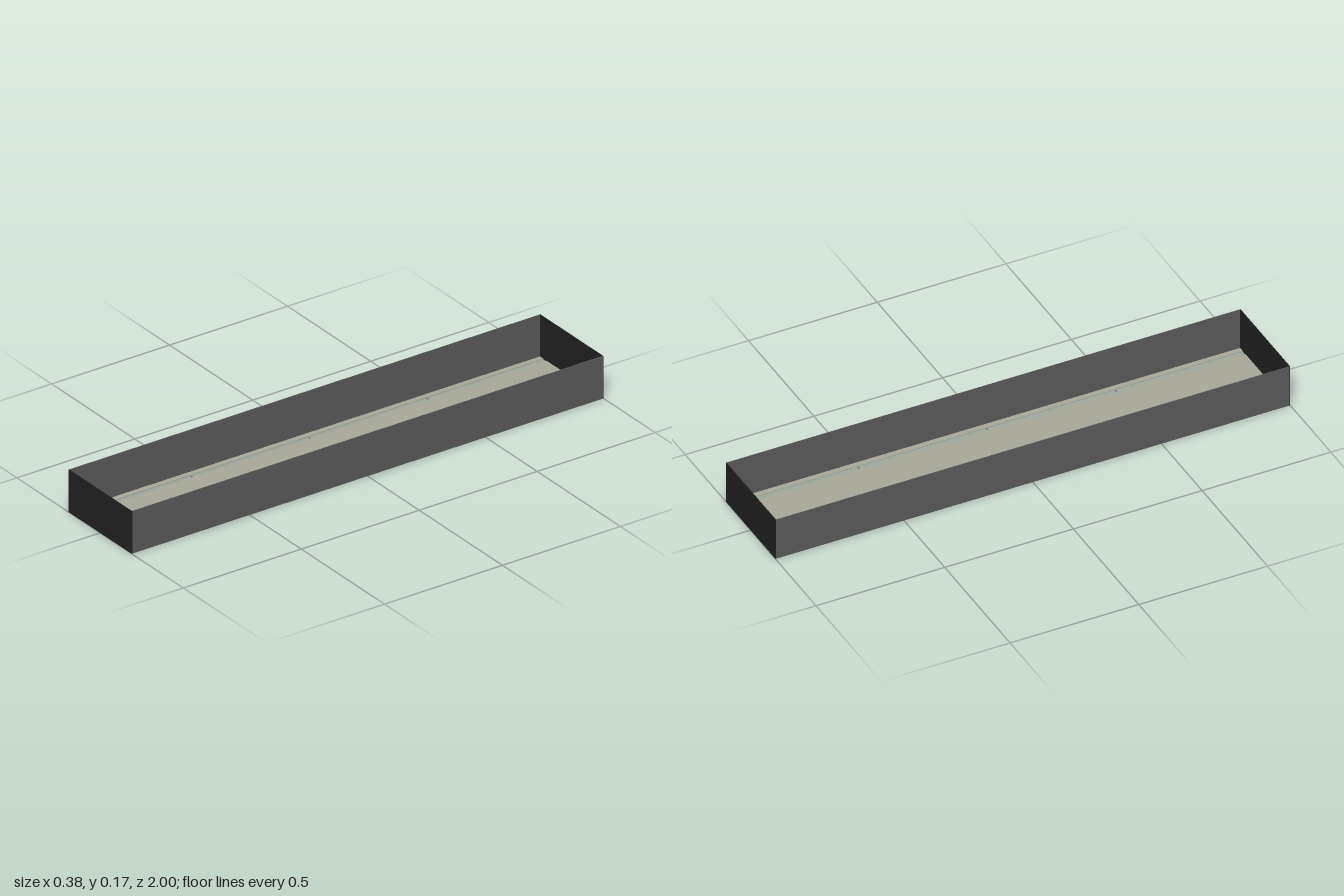
import * as THREE from 'three';

export function createModel() {
  const group = new THREE.Group();
  const W = 0.38, H = 0.166, L = 2, T = 0.003;
  const floorMat = new THREE.MeshStandardMaterial({ color: 0xaaaa9b });
  floorMat.name = 'pale stone';
  const sideMat = new THREE.MeshStandardMaterial({ color: 0x5c5c5c });
  sideMat.name = 'mid grey';
  const endMat = new THREE.MeshStandardMaterial({ color: 0x222222 });
  endMat.name = 'near black';

  const box = (name, mat, w, h, d, x, y, z) => {
    const mesh = new THREE.Mesh(new THREE.BoxGeometry(w, h, d), mat);
    mesh.name = name;
    mesh.position.set(x, y, z);
    group.add(mesh);
  };

  // Floor panel, separated from the edge strips by open slots
  const slotInner = 0.148, slotOuter = 0.166, inside = W / 2 - T;
  box('floorPanel', floorMat, slotInner * 2, T, L - 2 * T, 0, T / 2, 0);

  for (const s of [-1, 1]) {
    const side = s > 0 ? 'left' : 'right';
    // Narrow floor strip outside each slot
    box(side + 'FloorStrip', floorMat, inside - slotOuter, T, L - 2 * T,
      s * (inside + slotOuter) / 2, T / 2, 0);
    // Long thin side wall
    box(side + 'Wall', sideMat, T, H, L - 2 * T, s * (W - T) / 2, H / 2, 0);
    // Short dark end wall
    box(s > 0 ? 'frontWall' : 'backWall', endMat, W, H, T, 0, H / 2, s * (L - T) / 2);
  }
  return group;
}
